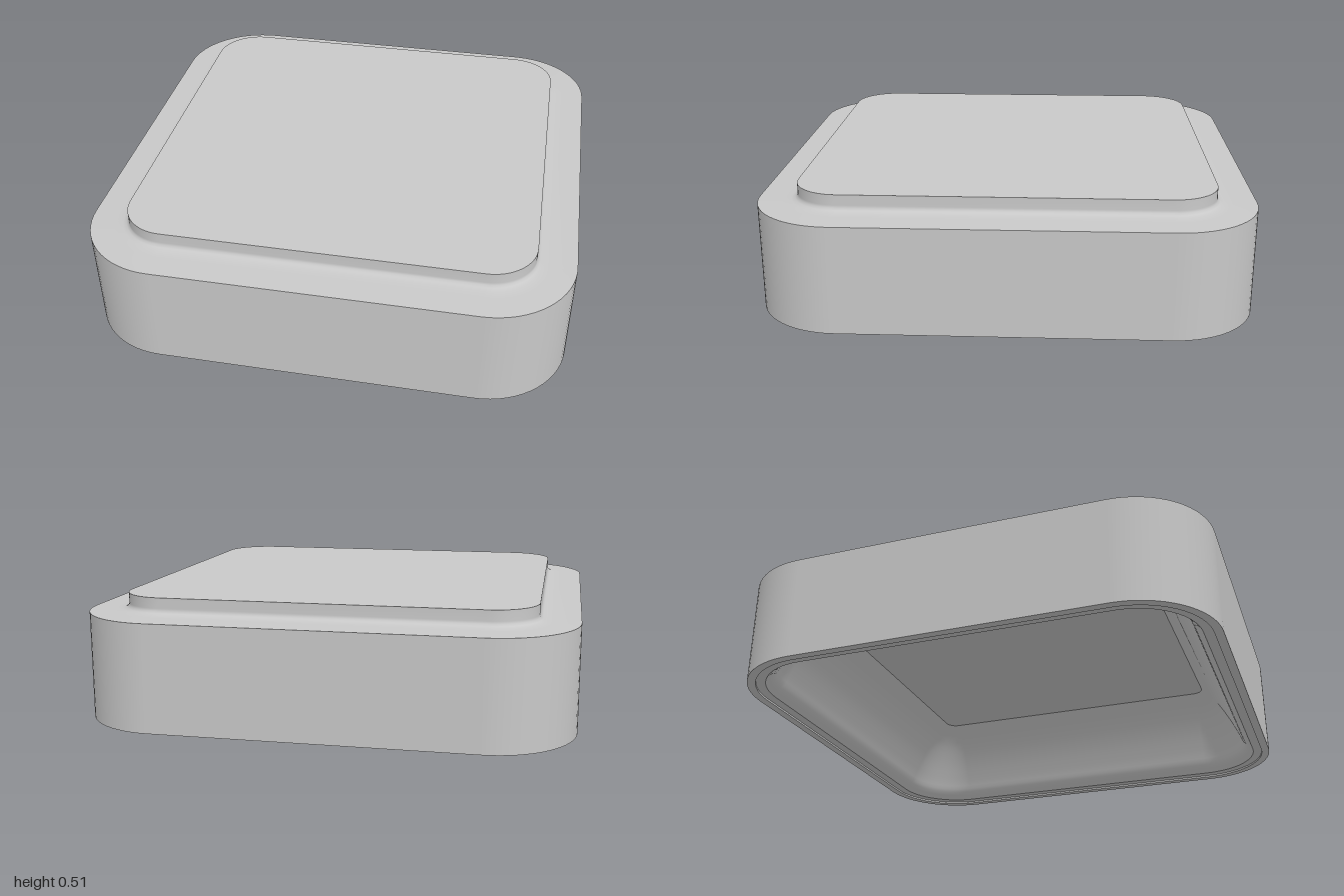
import * as THREE from 'three';

const ARC = 16; // segments per rounded corner
const OUTER_RADIUS = 0.35;

// Rounded-square ring; the corner radius shrinks as the ring is inset.
function ring(half, y) {
  const r = Math.min(half, Math.max(0.02, OUTER_RADIUS - (1 - half)));
  const c = half - r;
  const points = [];
  for (let q = 0; q < 4; q++) {
    const mid = (q + 0.5) * Math.PI / 2;
    const cx = c * Math.sign(Math.cos(mid));
    const cz = c * Math.sign(Math.sin(mid));
    for (let k = 0; k <= ARC; k++) {
      const a = (q + k / ARC) * Math.PI / 2;
      points.push(cx + r * Math.cos(a), y, cz + r * Math.sin(a));
    }
  }
  return points;
}

// Smooth surface through rings given as [half size, height].
function loft(profile) {
  const n = 4 * (ARC + 1);
  const position = profile.flatMap(([half, y]) => ring(half, y));
  const index = [];
  for (let i = 0; i < profile.length - 1; i++) {
    for (let j = 0; j < n; j++) {
      const k = (j + 1) % n;
      const a = i * n + j, b = i * n + k;
      index.push(a, a + n, b, b, a + n, b + n);
    }
  }
  const g = new THREE.BufferGeometry();
  g.setAttribute('position', new THREE.Float32BufferAttribute(position, 3));
  g.setIndex(index);
  g.computeVertexNormals();
  return g;
}

export function createModel() {
  const group = new THREE.Group();
  const grey = new THREE.MeshStandardMaterial({ color: 0xc8c8c8 });
  grey.name = 'grey';

  // Sloping inner wall that rounds over at the lip, sampled from a few points
  const innerWall = new THREE.SplineCurve([
    [0.7, 0.36], [0.768, 0.28], [0.823, 0.19], [0.867, 0.1], [0.891, 0.045], [0.925, 0.008],
  ].map(([s, y]) => new THREE.Vector2(s, y))).getPoints(16).map(p => [p.x, p.y]);

  // Each part is one smooth face; edges between parts stay sharp
  const parts = {
    ceiling: [[0, 0.36], [0.7, 0.36]],
    innerWall,
    lipLedge: [[0.925, 0.008], [0.965, 0.008]],
    lipStep: [[0.965, 0.008], [0.965, 0]],
    bottomRim: [[0.965, 0], [1, 0]],
    outerWall: [[1, 0], [1, 0.44]],
    shoulderAndPlateSide: [
      [1, 0.44], [0.9, 0.443], [0.865, 0.446], [0.85, 0.452], [0.842, 0.46], [0.84, 0.47], [0.84, 0.513],
    ],
    plateTop: [[0.84, 0.513], [0, 0.513]],
  };
  for (const [name, profile] of Object.entries(parts)) {
    const mesh = new THREE.Mesh(loft(profile), grey);
    mesh.name = name;
    group.add(mesh);
  }
  return group;
}
